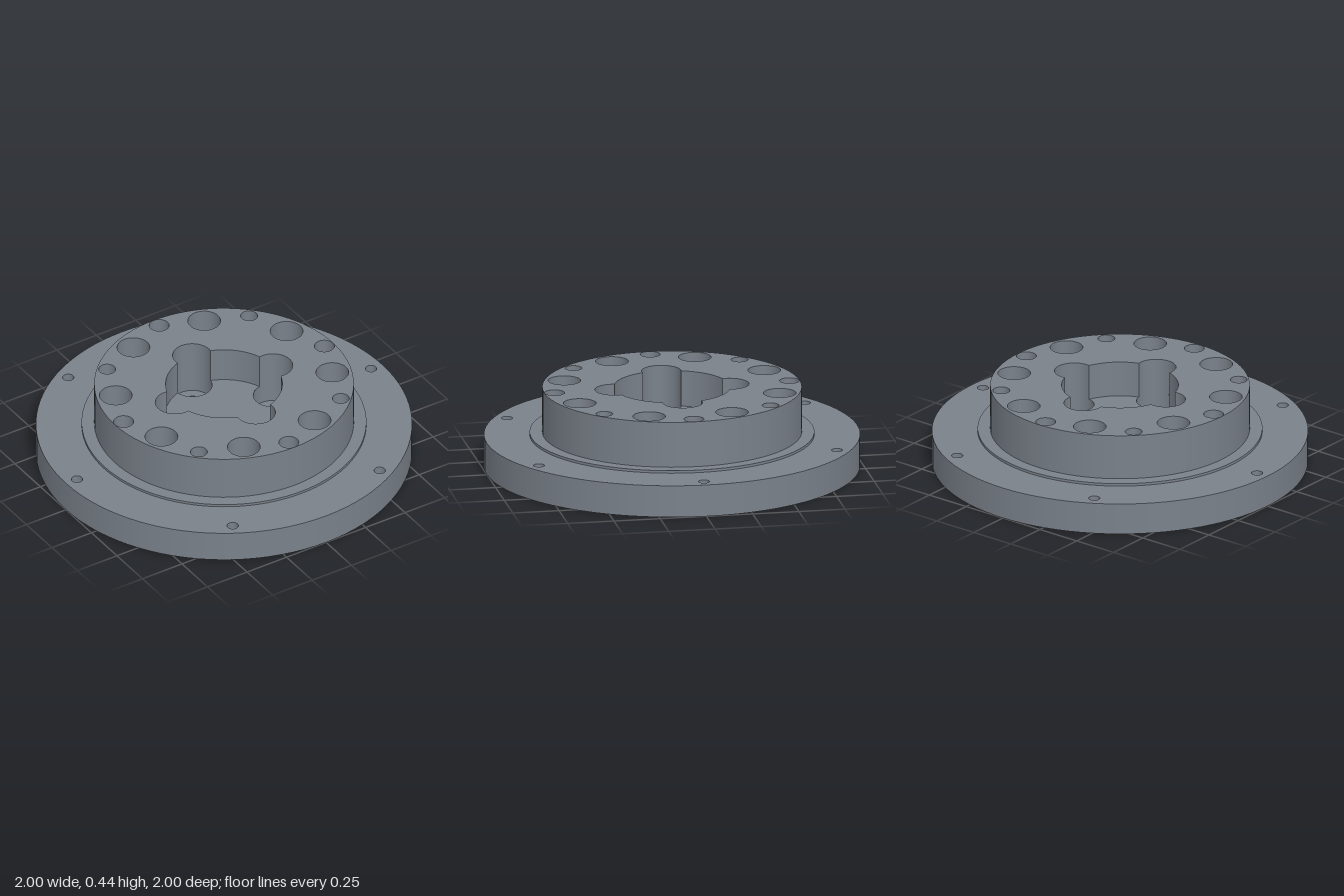
import * as THREE from 'three';
import { mergeGeometries } from 'three/addons/utils/BufferGeometryUtils.js';

const SEG = 96, TAU = Math.PI * 2;
// heights
const FLANGE = 0.173, STEP = 0.187, TOP = 0.435, POCKET = 0.24, SEAT = 0.13, RECESS = 0.07, BORE = 0.17, CENTRE = 0.15;
// pocket radius and lobe radius; lobes are centred on the pocket's rim
const PR = 0.31, LR = 0.105;
const pocketHalf = 2 * Math.asin(LR / 2 / PR);          // half angle a lobe cuts from the pocket rim
const lobeHalf = Math.PI - Math.acos(LR / 2 / PR);      // half angle of a lobe outside the pocket

// n circles of radius r spaced evenly on a ring of radius R
function pattern(n, R, r, start = 0) {
  return Array.from({ length: n }, (_, i) => {
    const a = start + (i * TAU) / n;
    return { x: R * Math.cos(a), y: R * Math.sin(a), r };
  });
}

const circle = (c, Type = THREE.Path) => new Type().absarc(c.x, c.y, c.r, 0, TAU, false);

// hard-edged turned surface: one lathe band per profile segment
function turned(profile, start = 0, length = TAU) {
  const bands = [];
  for (let i = 0; i + 1 < profile.length; i++) {
    const pts = [profile[i], profile[i + 1]].map(([r, y]) => new THREE.Vector2(r, y));
    bands.push(new THREE.LatheGeometry(pts, SEG, start, length));
  }
  return mergeGeometries(bands);
}

// flat face at height y, facing up or down
function face(shape, holes, y, up) {
  shape.holes.push(...holes);
  const g = new THREE.ShapeGeometry(shape, SEG / 2);
  return g.rotateX(up ? -Math.PI / 2 : Math.PI / 2).translate(0, y, 0);
}

// inward-facing walls of a set of holes
const holeWalls = (holes, y0, y1) =>
  mergeGeometries(holes.map((h) => turned([[h.r, y1], [h.r, y0]]).translate(h.x, 0, h.y)));

// small flat rings or discs at the bottom of stepped and blind holes
const seats = (holes, inner, y, up) =>
  mergeGeometries(holes.map((h) => turned(up ? [[h.r, y], [inner, y]] : [[inner, y], [h.r, y]]).translate(h.x, 0, h.y)));

// pocket outline: with its lobes added (outer) or cut away (inner)
function pocketOutline(Type, outer) {
  const p = new Type();
  for (let k = 0; k < 4; k++) {
    const a = (k * Math.PI) / 2;
    p.absarc(PR * Math.cos(a), PR * Math.sin(a), LR, a - lobeHalf, a + lobeHalf, !outer);
    p.absarc(0, 0, PR, a + pocketHalf, a + Math.PI / 2 - pocketHalf, false);
  }
  p.closePath();
  return p;
}

export function createModel() {
  const group = new THREE.Group();
  const material = new THREE.MeshStandardMaterial({ color: 0x7a818a });
  const add = (name, ...geos) => {
    const mesh = new THREE.Mesh(mergeGeometries(geos), material);
    mesh.name = name;
    group.add(mesh);
  };

  const rimHoles = pattern(6, 0.93, 0.03);
  const largeHoles = pattern(8, 0.585, 0.087, Math.PI / 8);
  const screwHoles = pattern(4, 0.635, 0.045, Math.PI / 4);
  const screwBores = pattern(4, 0.635, 0.1, Math.PI / 4);
  const dowelHoles = pattern(4, 0.635, 0.053);
  const lobes = pattern(4, PR, LR);
  const boltHoles = pattern(4, PR, 0.053);
  const centreBore = [{ x: 0, y: 0, r: 0.115 }];
  const disc = (r) => circle({ x: 0, y: 0, r }, THREE.Shape);
  const ring = (r) => circle({ x: 0, y: 0, r });

  // flange with its ring of small through holes
  add('flange',
    turned([[1, 0], [1, FLANGE]]),
    face(disc(1), [ring(0.757), ...rimHoles.map((h) => circle(h))], FLANGE, true),
    face(disc(1), [ring(0.862), ...rimHoles.map((h) => circle(h))], 0, false),
    holeWalls(rimHoles, 0, FLANGE));

  // low shoulder and hub side
  add('shoulder', turned([[0.757, FLANGE], [0.757, STEP], [0.69, STEP]]));
  add('hubWall', turned([[0.69, STEP], [0.69, TOP]]));
  add('hubTop', face(disc(0.69),
    [pocketOutline(THREE.Path, true), ...[...largeHoles, ...screwHoles, ...dowelHoles].map((h) => circle(h))],
    TOP, true));

  // underside: recess wall, narrow ridge and seal groove
  add('sealGroove', turned([[0.74, RECESS], [0.74, 0], [0.79, 0], [0.79, 0.07], [0.862, 0.07], [0.862, 0]]));
  add('undersideRecess', face(disc(0.74),
    [...largeHoles, ...screwBores, ...boltHoles, ...centreBore].map((h) => circle(h)), RECESS, false));

  // holes through the hub
  add('largeHoles', holeWalls(largeHoles, RECESS, TOP));
  add('screwHoles',
    holeWalls(screwHoles, BORE, TOP), holeWalls(screwBores, RECESS, BORE), seats(screwBores, 0.045, BORE, false));
  add('dowelHoles', holeWalls(dowelHoles, 0.28, TOP), seats(dowelHoles, 0, 0.28, true));
  add('centreBore', holeWalls(centreBore, RECESS, CENTRE), seats(centreBore, 0, CENTRE, false));

  // central pocket with four lobes on its rim
  const pocketWalls = [];
  for (let k = 0; k < 4; k++) {
    const a = (k * Math.PI) / 2;
    pocketWalls.push(
      turned([[PR, TOP], [PR, POCKET]], a + pocketHalf, Math.PI / 2 - 2 * pocketHalf),
      turned([[LR, TOP], [LR, POCKET]], a - lobeHalf, 2 * lobeHalf)
        .translate(PR * Math.sin(a), 0, PR * Math.cos(a)));
  }
  add('pocket', ...pocketWalls, face(pocketOutline(THREE.Shape, false), [], POCKET, true));

  // deep bolt seats sunk below the pocket floor
  add('boltSeats',
    holeWalls(lobes, SEAT, POCKET), seats(lobes, 0.053, SEAT, true), holeWalls(boltHoles, RECESS, SEAT));

  return group;
}
